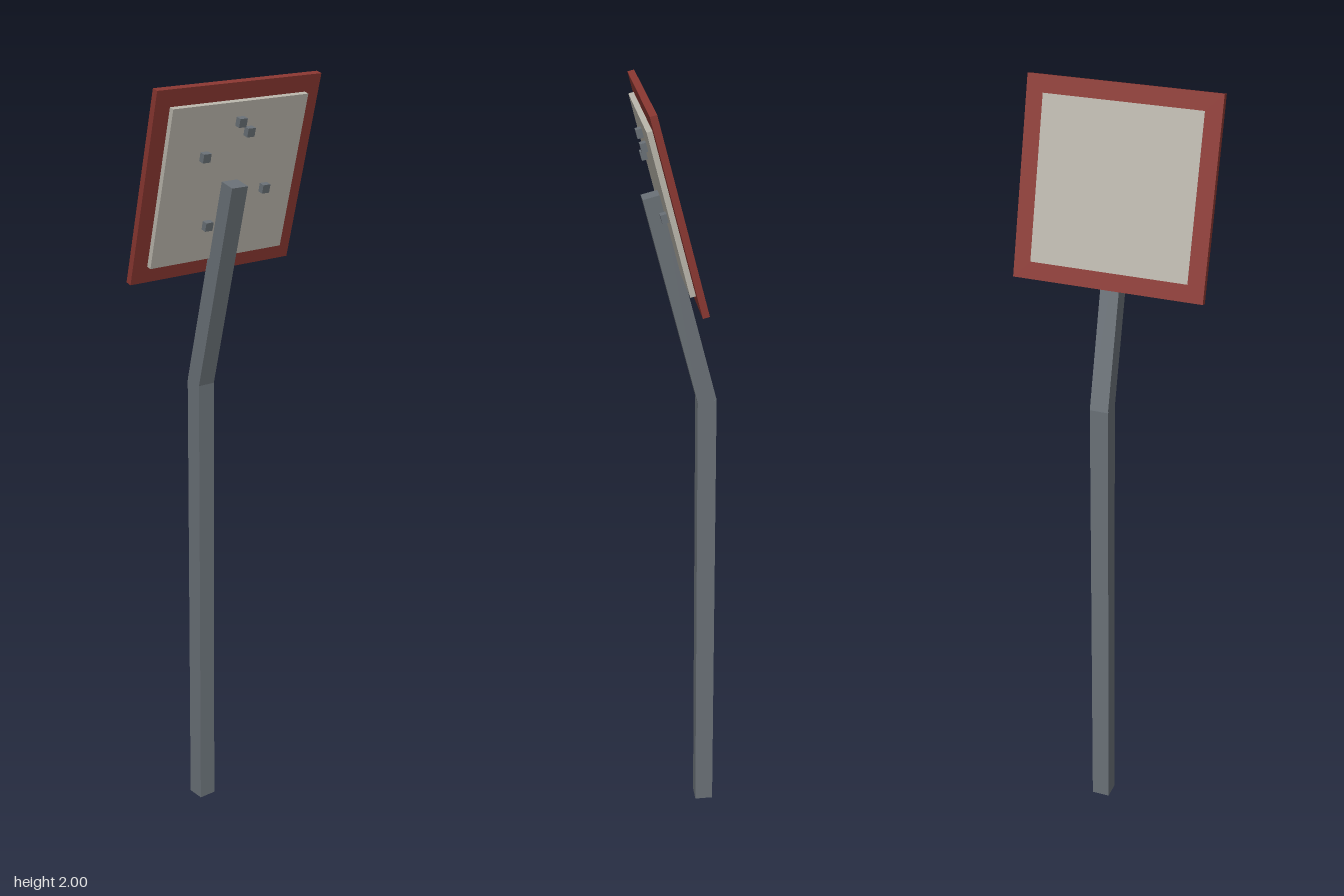
import * as THREE from 'three';

export function createModel() {
  const model = new THREE.Group();
  const material = (name, color) => new THREE.MeshStandardMaterial({ name, color });
  const steel = material('greySteel', 0x697076);
  const red = material('darkRed', 0x8a3731);
  const pale = material('paleGrey', 0xb9b5ab);
  const TILT = 0.25;

  function box(parent, name, size, pos, mat) {
    const mesh = new THREE.Mesh(new THREE.BoxGeometry(...size), mat);
    mesh.name = name;
    mesh.position.set(...pos);
    parent.add(mesh);
    return mesh;
  }

  // Upright post and the arm that leans forward from its top
  box(model, 'lowerPost', [0.048, 1.225, 0.048], [0, 0.6125, -0.075], steel);
  const arm = box(model, 'upperPost', [0.048, 0.55, 0.048], [0, 1.4875, -0.0075], steel);
  arm.rotation.x = TILT;

  // Tilted sign: red board with a pale panel showing on both faces
  const sign = new THREE.Group();
  sign.name = 'sign';
  sign.position.set(0, 1.762, 0.0215);
  sign.rotation.x = TILT;
  model.add(sign);
  box(sign, 'redBoard', [0.487, 0.487, 0.017], [0, 0, 0], red);
  box(sign, 'palePanel', [0.402, 0.402, 0.031], [0, 0, 0.0065], pale);

  // Small square bolts scattered over the front of the panel
  const bolts = [[-0.092, 0.075], [0, 0.153], [0.03, 0.126], [0.108, -0.028], [-0.052, -0.106]];
  for (const [x, y] of bolts) {
    box(sign, 'bolt', [0.022, 0.022, 0.022], [x, y, 0.026], steel);
  }
  return model;
}
